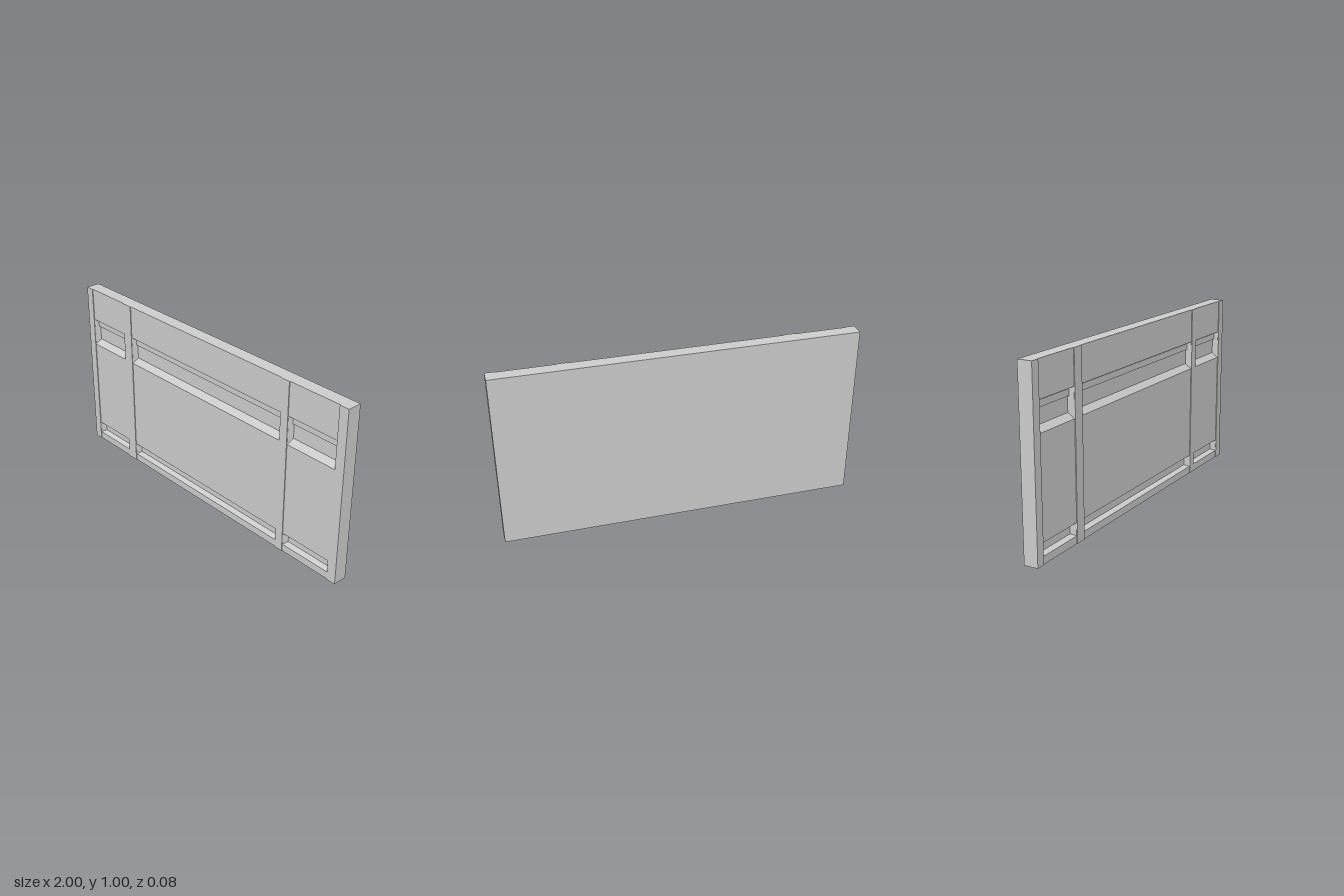
import * as THREE from 'three';

const BACK = -0.04, FLOOR = 0.006, FACE = 0.036, FRONT = 0.04, HEIGHT = 1;
const material = new THREE.MeshStandardMaterial({ color: 0xcccccc, flatShading: true });

// Box given by its minimum and maximum corners
function block(name, x0, x1, y0, y1, z0, z1) {
  const mesh = new THREE.Mesh(new THREE.BoxGeometry(x1 - x0, y1 - y0, z1 - z0), material);
  mesh.position.set((x0 + x1) / 2, (y0 + y1) / 2, (z0 + z1) / 2);
  mesh.name = name;
  return mesh;
}

// Rectangle corners, anticlockwise from bottom left
const corners = (x0, x1, y0, y1) => [[x0, y0], [x1, y0], [x1, y1], [x0, y1]];
const toPoints = (list) => list.map(([x, y]) => new THREE.Vector2(x, y));

// Four sloping sides from the outer opening back to the smaller floor
function reveal(name, outer, inner) {
  const positions = [];
  for (let k = 0; k < 4; k++) {
    const n = (k + 1) % 4;
    const a = [...outer[k], FACE], b = [...outer[n], FACE];
    const c = [...inner[n], FLOOR], d = [...inner[k], FLOOR];
    positions.push(...a, ...b, ...c, ...a, ...c, ...d);
  }
  const geometry = new THREE.BufferGeometry();
  geometry.setAttribute('position', new THREE.Float32BufferAttribute(positions, 3));
  geometry.computeVertexNormals();
  const mesh = new THREE.Mesh(geometry, material);
  mesh.name = name;
  return mesh;
}

// Vertical bays between the piers
const bays = [
  { name: 'rightBay', x0: -0.95, x1: -0.66 },
  { name: 'middleBay', x0: -0.595, x1: 0.58 },
  { name: 'leftBay', x0: 0.63, x1: 0.945 },
];

// Recess heights: outer bottom/top, floor bottom/top, optional underside of the header
const recesses = [
  { name: 'upperRecess', y0: 0.65, y1: 0.81, fy0: 0.68, fy1: 0.80, header: 0.765 },
  { name: 'lowerRecess', y0: 0.042, y1: 0.112, fy0: 0.052, fy1: 0.102 },
];

function createBay({ name, x0, x1 }) {
  const bay = new THREE.Group();
  bay.name = name;
  const inset = 0.014;

  // Face plate pierced by the recess openings
  const shape = new THREE.Shape(toPoints(corners(x0, x1, 0, HEIGHT)));
  for (const r of recesses) {
    const outer = corners(x0 + 0.001, x1 - 0.001, r.y0, r.y1);
    const inner = corners(x0 + inset, x1 - inset, r.fy0, r.fy1);
    shape.holes.push(new THREE.Path(toPoints(outer).reverse()));
    bay.add(reveal(r.name, outer, inner));
    // Stepped header along the top of the recess
    if (r.header) {
      bay.add(block('header', x0 + inset, x1 - inset, r.header, r.fy1, FLOOR, FLOOR + 0.01));
    }
  }
  const plate = new THREE.Mesh(
    new THREE.ExtrudeGeometry(shape, { depth: FACE - FLOOR, bevelEnabled: false }), material);
  plate.position.z = FLOOR;
  plate.name = 'facePlate';
  bay.add(plate);
  return bay;
}

export function createModel() {
  const model = new THREE.Group();
  model.name = 'wallPanel';

  // Backing slab, whose front is the recess floor
  model.add(block('backSlab', -1, 1, 0, HEIGHT, BACK, FLOOR));

  // Slightly proud piers fill the spaces between the bays
  let start = -1;
  for (const bay of bays) {
    model.add(block('pier', start, bay.x0, 0, HEIGHT, FLOOR, FRONT));
    model.add(createBay(bay));
    start = bay.x1;
  }
  model.add(block('pier', start, 1, 0, HEIGHT, FLOOR, FRONT));
  return model;
}
